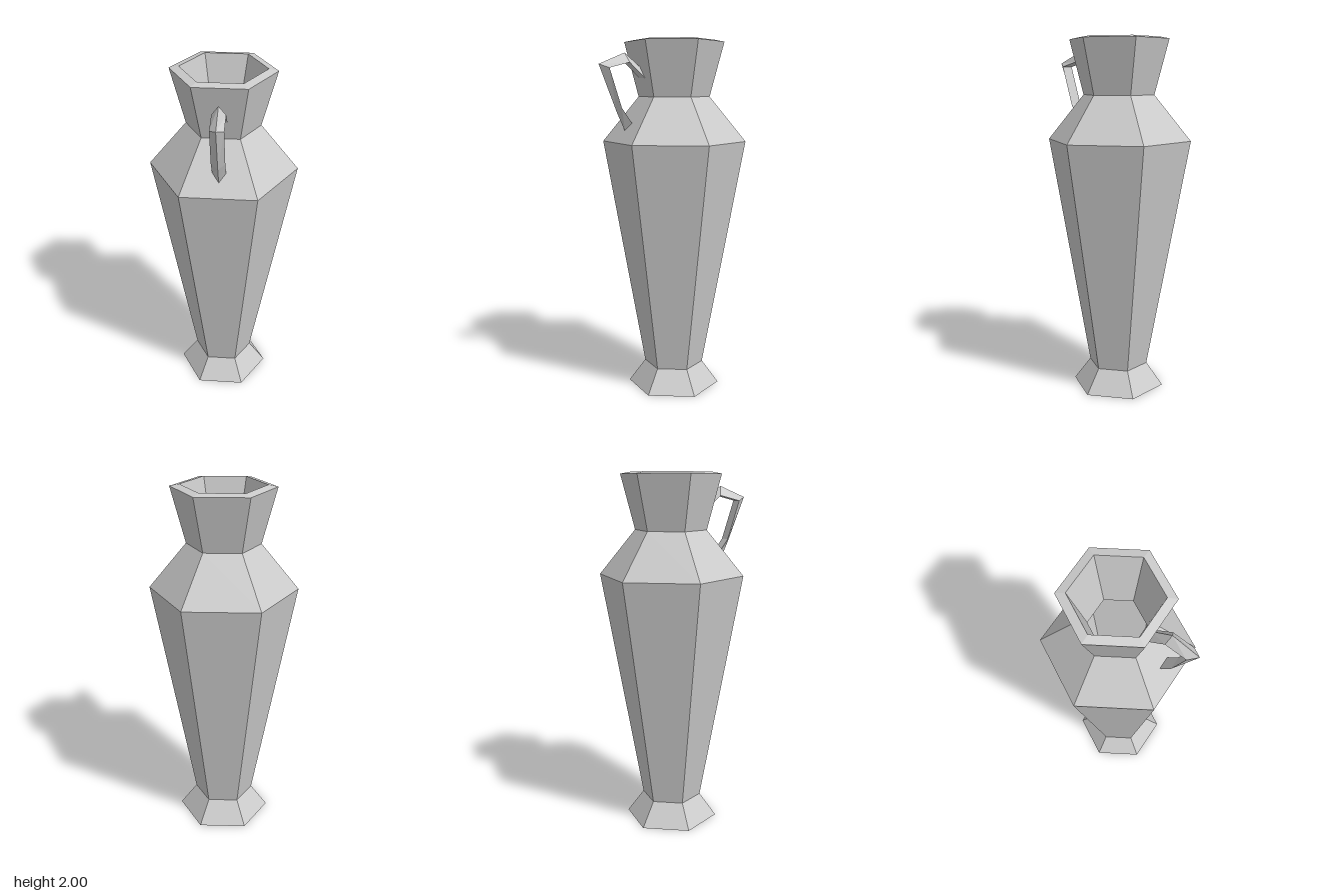
import * as THREE from 'three';

const material = () => new THREE.MeshStandardMaterial({ color: 0xcccccc, flatShading: true });

// Strip handle with a triangular section: a ridge outside, a flat face inside.
function ridgedStrip(ridge, inner, halfWidth) {
  const positions = [], index = [];
  ridge.forEach(([z, y], i) => {
    const [zi, yi] = inner[i];
    positions.push(0, y, z, halfWidth, yi, zi, -halfWidth, yi, zi);
    if (i === ridge.length - 1) return;
    for (let j = 0; j < 3; j++) {
      const a = i * 3 + j, b = i * 3 + (j + 1) % 3;
      index.push(a, a + 3, b, b, a + 3, b + 3);
    }
  });
  const geometry = new THREE.BufferGeometry();
  geometry.setAttribute('position', new THREE.Float32BufferAttribute(positions, 3));
  geometry.setIndex(index);
  geometry.computeVertexNormals();
  return geometry;
}

export function createModel() {
  const model = new THREE.Group();
  model.name = 'jug';

  // Six-sided vessel: foot, body, shoulder, neck, lip, then the hollow inside
  const profile = [
    [0, 0], [0.265, 0], [0.17, 0.13], [0.405, 1.44], [0.2, 1.69], [0.279, 1.99],
    [0.228, 2], [0.146, 1.69], [0.345, 1.43], [0.115, 0.14], [0, 0.14],
  ].map(([r, y]) => new THREE.Vector2(r, y));
  const vessel = new THREE.Mesh(new THREE.LatheGeometry(profile, 6, Math.PI / 2), material());
  vessel.name = 'vessel';
  vessel.position.z = -0.05;
  model.add(vessel);

  // Front handle from neck to shoulder, points as [z, y]
  const ridge = [[0.14, 1.835], [0.25, 1.925], [0.4, 1.863], [0.3, 1.61], [0.25, 1.5]];
  const inner = [[0.14, 1.785], [0.235, 1.873], [0.352, 1.843], [0.283, 1.63], [0.222, 1.545]];
  const handle = new THREE.Mesh(ridgedStrip(ridge, inner, 0.036), material());
  handle.name = 'handle';
  model.add(handle);

  return model;
}
